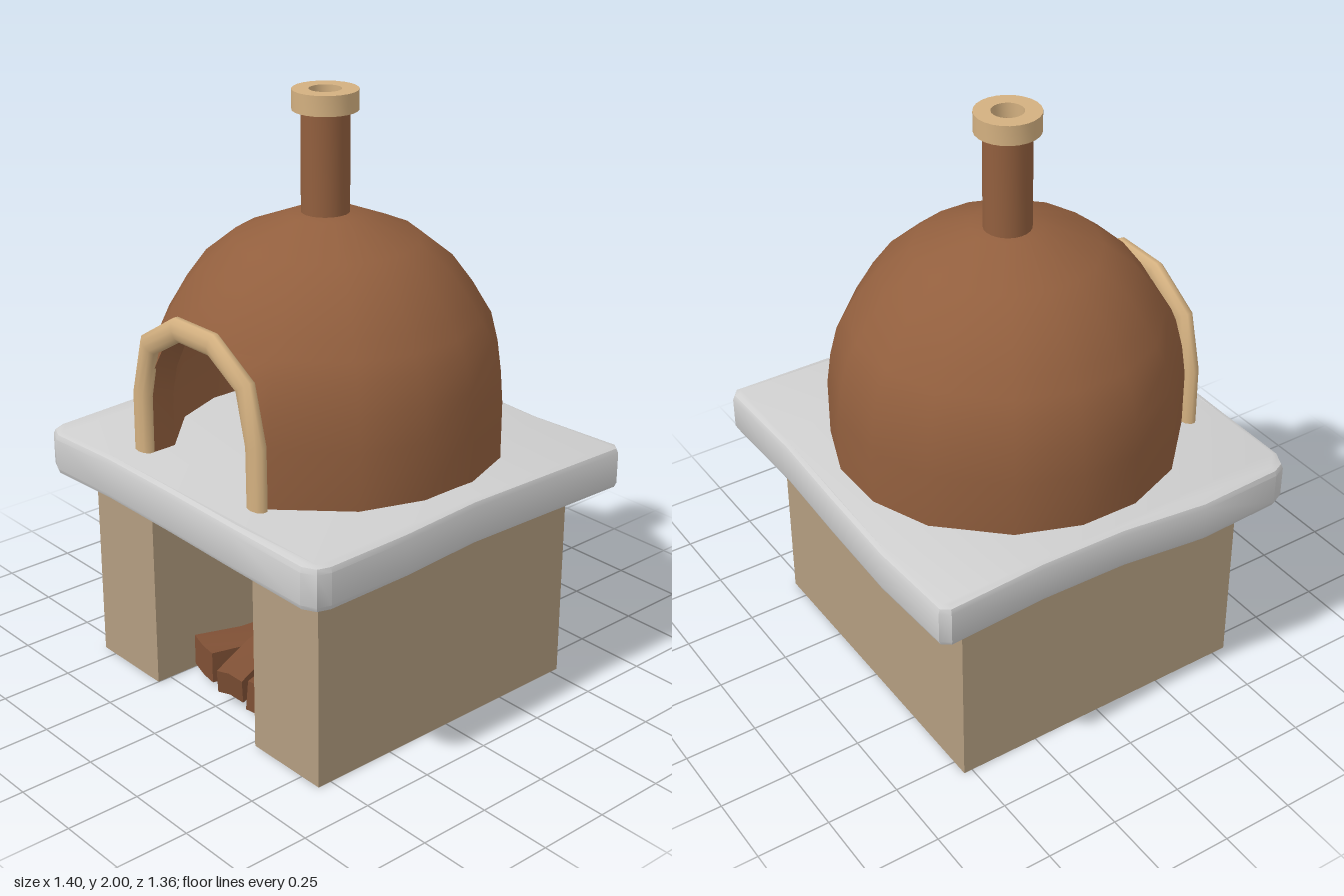
import * as THREE from 'three';
import { mergeVertices, toCreasedNormals } from 'three/addons/utils/BufferGeometryUtils.js';

const mat = (name, color, side = THREE.FrontSide) => {
  const m = new THREE.MeshStandardMaterial({ color, side });
  m.name = name;
  return m;
};

// Extrude a plan outline given as [x, z] pairs upward
function extrudePlan(points, depth, bevel = 0) {
  const shape = new THREE.Shape(points.map(([x, z]) => new THREE.Vector2(x, -z)));
  const geo = new THREE.ExtrudeGeometry(shape, {
    depth: depth - 2 * bevel, bevelEnabled: bevel > 0, bevelSize: bevel,
    bevelThickness: bevel, bevelOffset: -bevel, bevelSegments: 2,
  });
  return geo.translate(0, 0, bevel).rotateX(-Math.PI / 2);
}

// Surface through rows of points
function loft(rows, flip = false) {
  const n = rows[0].length, index = [];
  for (let i = 0; i < rows.length - 1; i++) {
    for (let j = 0; j < n - 1; j++) {
      const a = i * n + j, b = a + 1, c = b + n, d = a + n;
      index.push(...(flip ? [a, c, b, a, d, c] : [a, b, c, a, c, d]));
    }
  }
  let geo = new THREE.BufferGeometry();
  geo.setAttribute('position', new THREE.Float32BufferAttribute(rows.flat(2), 3));
  geo.setIndex(index);
  geo = mergeVertices(geo, 1e-4);
  geo.computeVertexNormals();
  return geo;
}

// Straight-sided path whose samples land on its corners
class Polyline extends THREE.Curve {
  constructor(points) { super(); this.points = points; }
  getPoint(t, target = new THREE.Vector3()) {
    const k = t * (this.points.length - 1);
    const i = Math.min(Math.floor(k), this.points.length - 2);
    return target.lerpVectors(this.points[i], this.points[i + 1], k - i);
  }
  getPointAt(t, target) { return this.getPoint(t, target); }
  getTangentAt(t, target) { return this.getTangent(t, target); }
}

export function createModel() {
  const group = new THREE.Group();
  const clay = mat('clay brown', 0x925f3e);
  const clayEdge = mat('clay brown inner', 0x925f3e, THREE.DoubleSide);
  const trim = mat('tan trim', 0xd3b080);
  const stone = mat('beige stone', 0xb39d80);
  const slabGrey = mat('slab grey', 0xcfcfcf);
  const wood = mat('log brown', 0x7f5035);
  const add = (name, geo, material, parent = group) => {
    const mesh = new THREE.Mesh(geo, material);
    mesh.name = name;
    parent.add(mesh);
    return mesh;
  };

  // U-shaped stand with the wood store open to the front
  add('stand', extrudePlan([
    [-0.56, 0.55], [-0.25, 0.55], [-0.25, -0.31], [0.27, -0.31],
    [0.27, 0.55], [0.58, 0.55], [0.58, -0.53], [-0.56, -0.53],
  ], 0.7), stone);

  // Uneven stone slab
  const slab = extrudePlan([
    [-0.68, -0.64], [-0.655, -0.67], [-0.33, -0.68], [0, -0.67], [0.32, -0.655],
    [0.67, -0.665], [0.7, -0.64], [0.695, -0.3], [0.685, 0], [0.7, 0.3], [0.7, 0.6],
    [0.685, 0.645], [0.64, 0.67], [0.33, 0.675], [0, 0.67], [-0.33, 0.665],
    [-0.61, 0.67], [-0.665, 0.645], [-0.685, 0.6], [-0.7, 0.3], [-0.67, 0], [-0.665, -0.3],
  ], 0.15, 0.022);
  const sp = slab.attributes.position;
  for (let i = 0; i < sp.count; i++) {
    const x = sp.getX(i), z = sp.getZ(i);
    sp.setY(i, sp.getY(i) + 0.688 + 0.006 * Math.sin(5 * x * x + 3 * z));
  }
  slab.computeVertexNormals();
  add('slab', toCreasedNormals(slab, 0.5), slabGrey);

  // Dome shell: [height, radius, half width of the doorway]
  const profile = [
    [0.835, 0.585, 0.262], [1.03, 0.585, 0.262], [1.14, 0.57, 0.235], [1.24, 0.545, 0.18],
    [1.295, 0.512, 0.1], [1.295, 0.512, 0], [1.35, 0.48, 0], [1.445, 0.41, 0],
    [1.53, 0.305, 0], [1.605, 0.12, 0], [1.612, 0, 0],
  ];
  const quarter = [10, 31.5, 58.5, 80];
  const angles = [0];
  for (let q = 0; q < 4; q++) angles.push(...quarter.map(a => a + 90 * q));
  angles.push(360);
  const shell = (scaleR, scaleY) => profile.map(([y, r, w]) => {
    const R = r * scaleR;
    const gap = R > 0 ? Math.asin(w / R) : 0;
    return angles.map(deg => {
      const a = THREE.MathUtils.clamp(THREE.MathUtils.degToRad(deg), gap, 2 * Math.PI - gap);
      // Keep the middle of each facet on the chord when there is no doorway
      const rr = (deg % 360 === 0 && w === 0) ? R * Math.cos(Math.PI / 18) : R;
      return [rr * Math.sin(a), 0.835 + (y - 0.835) * scaleY, rr * Math.cos(a) + 0.01];
    });
  });
  const outer = shell(1, 1), inner = shell(0.86, 0.96);
  const dome = new THREE.Group();
  dome.name = 'dome';
  group.add(dome);
  add('domeOutside', loft(outer), clay, dome);
  add('domeInside', loft(inner, true), clay, dome);

  // Doorway sides and lintel joining the two skins
  const last = angles.length - 1;
  const edge = rows => [
    ...rows.slice(0, 5).map(r => r[0]),
    ...rows.slice(0, 5).map(r => r[last]).reverse(),
  ];
  add('doorwayLining', loft([edge(outer), edge(inner)]), clayEdge, dome);

  // Arch moulding around the doorway
  const half = [[0.288, 0.8], [0.286, 1.04], [0.24, 1.22], [0.088, 1.312]];
  const path = [
    ...half.map(([x, y]) => new THREE.Vector3(-x, y, 0)),
    ...half.map(([x, y]) => new THREE.Vector3(x, y, 0)).reverse(),
  ];
  const arch = add('doorArch', new THREE.TubeGeometry(new Polyline(path), path.length - 1, 0.041, 10), trim);
  arch.scale.z = 0.66;
  arch.position.set(-0.012, 0, 0.531);

  // Hollow chimney pipe and cap
  const tube = (rOut, rIn, y0, y1) => {
    const pts = [[rIn, y0], [rOut, y0], [rOut, y1], [rIn, y1], [rIn, y0]];
    const geo = new THREE.LatheGeometry(pts.map(p => new THREE.Vector2(...p)), 24);
    return toCreasedNormals(geo, 0.6).translate(-0.012, 0, 0.005);
  };
  add('chimneyPipe', tube(0.078, 0.05, 1.56, 1.95), clay);
  add('chimneyCap', tube(0.106, 0.052, 1.935, 2), trim);

  // Firewood: front end, back end, thickness
  const logs = [
    [[-0.165, 0.075, 0.42], [-0.06, 0.07, -0.1], 0.11],
    [[0.175, 0.075, 0.44], [0.06, 0.07, -0.08], 0.11],
    [[0.04, 0.085, 0.47], [-0.03, 0.185, -0.02], 0.095],
  ];
  logs.forEach(([front, back, size], k) => {
    const a = new THREE.Vector3(...front), b = new THREE.Vector3(...back);
    const geo = new THREE.BoxGeometry(size * 1.2, size, a.distanceTo(b), 2, 1, 3);
    const p = geo.attributes.position;
    for (let i = 0; i < p.count; i++) {
      const x = p.getX(i), y = p.getY(i), z = p.getZ(i);
      p.setX(i, x + 0.007 * Math.sin(17 * z + 30 * y + k));
      p.setY(i, y + 0.007 * Math.sin(14 * z + 40 * x + 2 * k));
    }
    const log = add('log' + (k + 1), toCreasedNormals(geo, 0.5), wood);
    log.position.lerpVectors(a, b, 0.5);
    log.lookAt(a);
  });

  return group;
}
